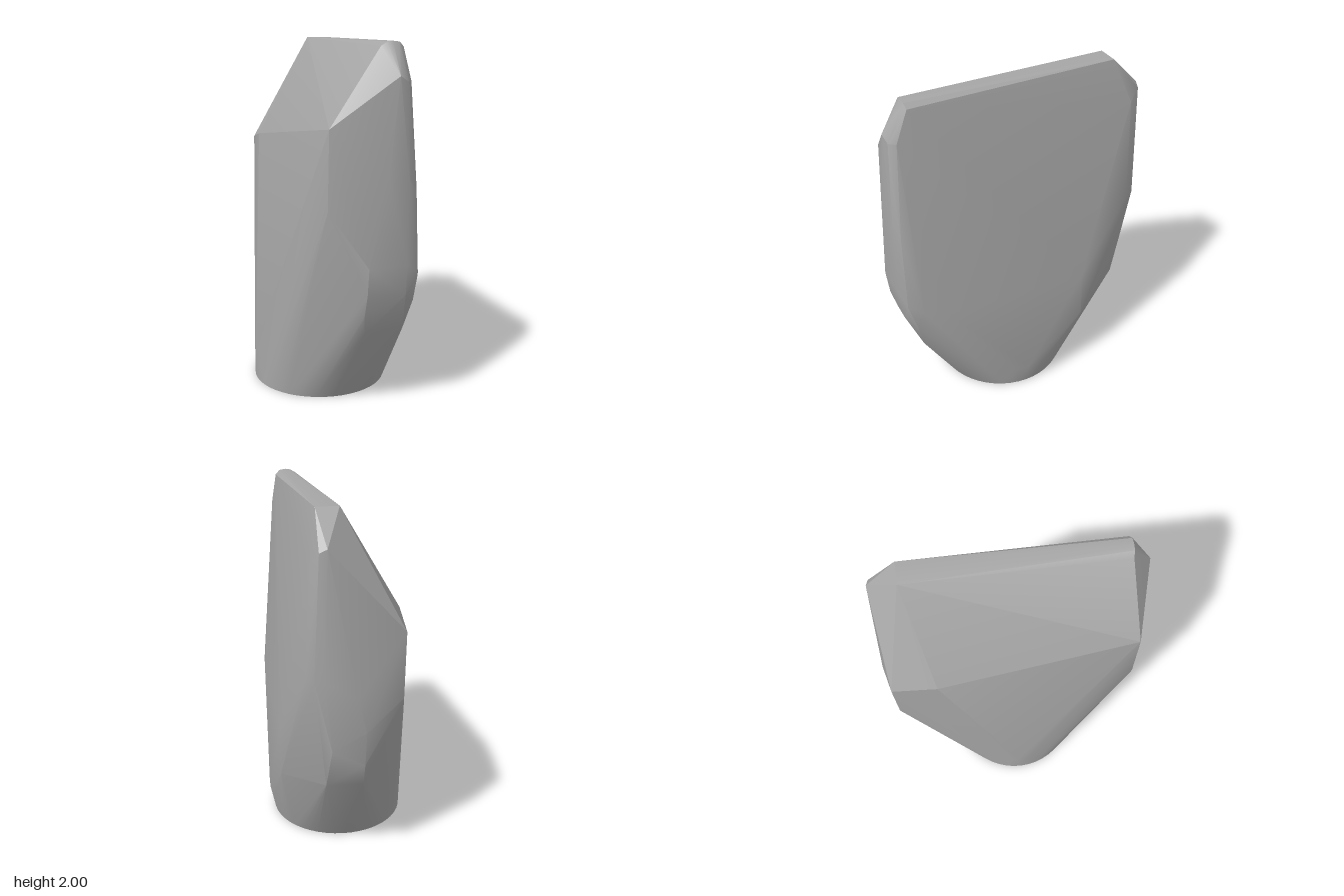
import * as THREE from 'three';
import { ConvexGeometry } from 'three/addons/geometries/ConvexGeometry.js';
import { mergeVertices, toCreasedNormals } from 'three/addons/utils/BufferGeometryUtils.js';

// Faceted solid spanned by a few corner points, with soft blends at shallow edges
function facetedSolid(points, crease) {
  const hull = new ConvexGeometry(points);
  hull.deleteAttribute('normal');
  return toCreasedNormals(mergeVertices(hull, 1e-4), crease);
}

export function createModel() {
  const group = new THREE.Group();
  group.name = 'facetedBlock';
  const grey = new THREE.MeshStandardMaterial({ color: 0xa6a6a6 });
  grey.name = 'stone grey';

  const points = [];
  const add = (...list) => list.forEach((p) => points.push(new THREE.Vector3(...p)));

  // Round foot
  const steps = 48;
  for (let i = 0; i < steps; i++) {
    const a = (i / steps) * Math.PI * 2;
    add([-0.017 + 0.392 * Math.cos(a), 0, 0.017 + 0.39 * Math.sin(a)]);
  }
  add([-0.41, 0.2, 0], [-0.407, 0.2, 0.05], [-0.407, 0.2, -0.04]);
  add([0.405, 0.14, 0.02], [0.4, 0.14, -0.08], [0.398, 0.14, 0.1]);

  // Top ridge with a softly rounded crest
  for (const [x, y] of [[0.1, 1.975], [0.13, 1.995], [0.16, 2], [0.2, 1.995], [0.225, 1.97]]) {
    add([x, y, 0.63 - (2 - y) * 0.3], [x, y, -0.54 + (2 - y) * 0.3]);
  }
  add([0.16, 2, 0.63], [0.225, 2, -0.54], [0.1, 2, -0.54]);

  // Left shoulder
  add([-0.19, 1.57, 0.66], [-0.2, 1.15, 0.67]);
  add([-0.255, 1.42, -0.43], [-0.22, 1.37, -0.68], [-0.215, 1.0, -0.68]);

  // Front face and its rounded right edge
  add([0.16, 1.83, 0.737], [0.21, 1.8, 0.725], [0.24, 1.8, 0.69]);
  add([0.1, 1.3, 0.755], [0.22, 1.3, 0.745], [0.27, 1.25, 0.72]);
  add([0.0, 0.85, 0.748], [0.0, 0.7, 0.73], [0.0, 0.57, 0.692], [0.02, 0.46, 0.65]);
  add([0.22, 0.85, 0.742], [0.29, 0.8, 0.72], [0.33, 0.76, 0.64], [0.345, 0.72, 0.52]);
  add([0.22, 0.68, 0.725], [0.29, 0.63, 0.67], [0.25, 0.46, 0.63]);

  // Back face and its rounded right edge
  add([0.2, 1.83, -0.71], [0.24, 1.81, -0.7], [0.275, 1.75, -0.64]);
  add([0.05, 1.05, -0.753], [0.22, 1.15, -0.735], [0.27, 1.15, -0.71], [0.305, 1.15, -0.65]);
  add([0.0, 0.85, -0.742], [0.0, 0.65, -0.718], [0.0, 0.52, -0.685]);
  add([0.18, 0.75, -0.72], [0.2, 0.52, -0.66]);

  // Right flank
  add([0.39, 0.73, -0.33], [0.393, 0.44, -0.34]);

  const body = new THREE.Mesh(facetedSolid(points, 0.42), grey);
  body.name = 'body';
  group.add(body);
  return group;
}
